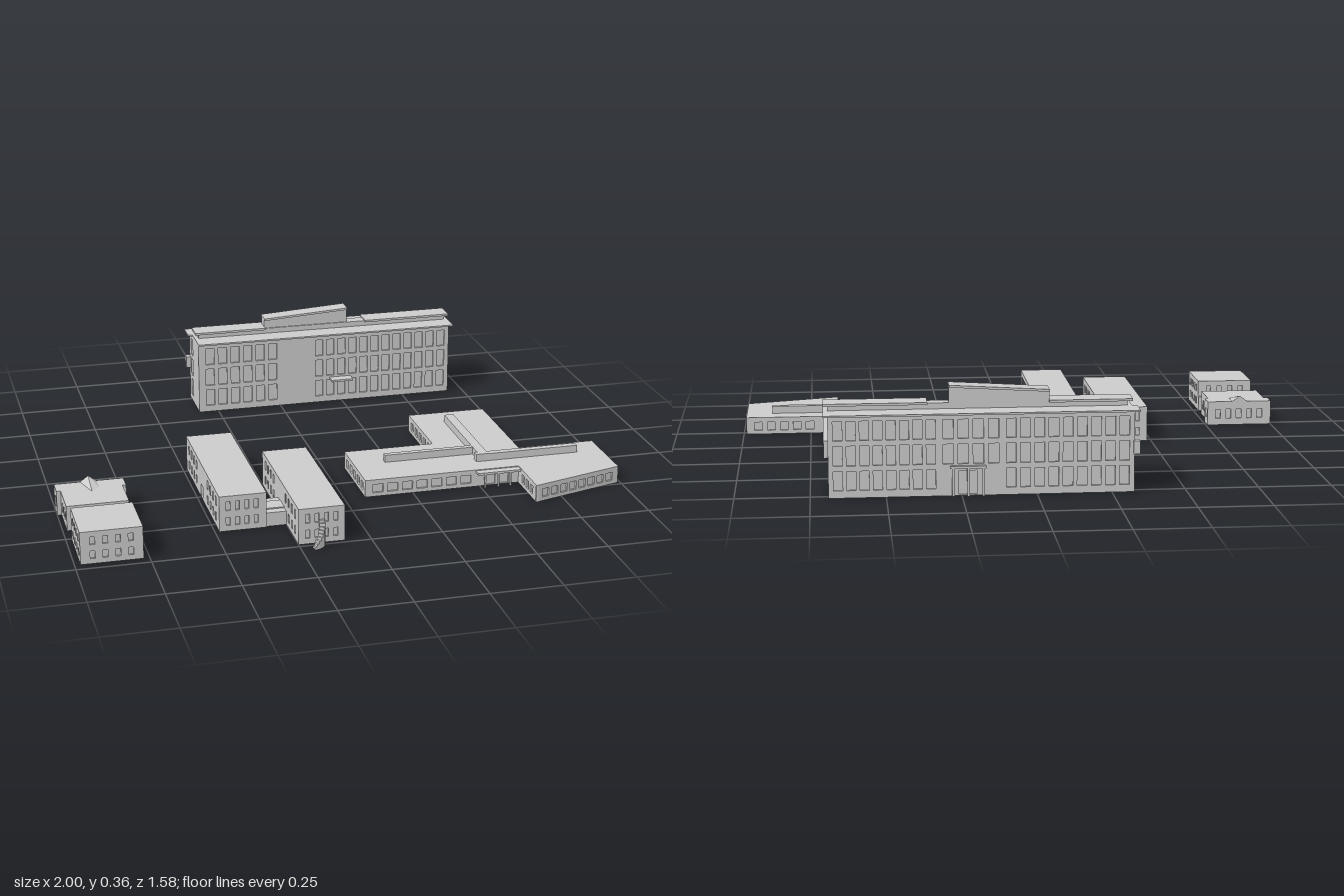
import * as THREE from 'three';

const grey = new THREE.MeshStandardMaterial({ color: 0xcccccc, flatShading: true });

function mesh(name, geo, parent) {
  const m = new THREE.Mesh(geo, grey);
  m.name = name;
  parent.add(m);
  return m;
}

// Box given by its limits on each axis
function box(name, x0, x1, y0, y1, z0, z1, parent) {
  const m = mesh(name, new THREE.BoxGeometry(x1 - x0, y1 - y0, z1 - z0), parent);
  m.position.set((x0 + x1) / 2, (y0 + y1) / 2, (z0 + z1) / 2);
  return m;
}

// Horizontal slab from an outline of [x, z] points
function slab(name, pts, y0, y1, parent) {
  const shape = new THREE.Shape(pts.map(([x, z]) => new THREE.Vector2(x, -z)));
  const geo = new THREE.ExtrudeGeometry(shape, { depth: y1 - y0, bevelEnabled: false });
  mesh(name, geo.rotateX(-Math.PI / 2), parent).position.y = y0;
}

// Even grid of openings [u, v, width, height] along a wall
function grid(u0, u1, cols, rows, fill = 0.6) {
  const out = [], step = (u1 - u0) / cols;
  for (const [v0, v1] of rows)
    for (let i = 0; i < cols; i++)
      out.push([u0 + step * (i + (1 - fill) / 2), v0, step * fill, v1 - v0]);
  return out;
}

// Wall from a to b with openings and a recessed pane behind them
function wall(a, b, h, openings, parent, depth = 0.008) {
  const dx = b[0] - a[0], dz = b[1] - a[1], len = Math.hypot(dx, dz);
  const g = new THREE.Group();
  g.name = 'wall';
  g.position.set(a[0], 0, a[1]);
  g.rotation.y = Math.atan2(-dz, dx);
  parent.add(g);
  const rect = (S, x, y, w, t) => new S([[x, y], [x + w, y], [x + w, y + t], [x, y + t]]
    .map((p) => new THREE.Vector2(...p)));
  const shape = rect(THREE.Shape, 0, 0, len, h);
  for (const o of openings) shape.holes.push(rect(THREE.Path, ...o));
  const geo = new THREE.ExtrudeGeometry(shape, { depth, bevelEnabled: false });
  mesh('facade', geo.translate(0, 0, -depth), g);
  mesh('windowPanes', new THREE.PlaneGeometry(len - 2 * depth, h), g)
    .position.set(len / 2, h / 2, -depth + 0.001);
}

// Building from an outline, with one list of openings per edge
function building(name, pts, h, openings, parent) {
  const g = new THREE.Group();
  g.name = name;
  parent.add(g);
  slab('floor', pts, 0, 0.002, g);
  slab('roof', pts, h - 0.004, h, g);
  pts.forEach((p, i) => wall(p, pts[(i + 1) % pts.length], h - 0.004, openings[i] || [], g));
  return g;
}

// Edges run front, +x side, back, -x side
const rectangle = (x0, x1, z0, z1) => [[x0, z1], [x1, z1], [x1, z0], [x0, z0]];

// Curved outside stair going down away from a wall
function curvedStair(x, z, dir, parent) {
  const g = new THREE.Group();
  g.name = 'curvedStair';
  g.position.set(x, 0, z);
  g.rotation.y = dir > 0 ? 0 : Math.PI;
  parent.add(g);
  const n = 9, r = 0.037;
  for (let i = 0; i < n; i++) {
    const t = (i + 0.5) / n, a = t * Math.PI / 2, h = 0.085 * (1 - i / n);
    const s = mesh('step', new THREE.BoxGeometry(0.02, h, 0.0085), g);
    s.position.set(-r + r * Math.cos(a), h / 2, 0.045 * Math.sin(a));
    s.rotation.y = -a;
  }
}

function mainBlock(root) {
  const rows = [[0.025, 0.09], [0.108, 0.175], [0.193, 0.258]];
  const g = building('mainBlock', rectangle(-0.325, 0.69, -0.775, -0.59), 0.276, [
    [...grid(0.02, 0.32, 6, rows, 0.68), ...grid(0.46, 1.005, 12, rows, 0.68)],
    grid(0.13, 0.17, 1, [[0.03, 0.1], [0.112, 0.176], [0.186, 0.25]], 0.8),
    [...grid(0.01, 0.36, 8, rows, 0.7), ...grid(0.37, 0.57, 4, rows.slice(1), 0.7),
      ...grid(0.4, 0.52, 1, [[0.004, 0.085]], 0.5), ...grid(0.58, 1.005, 9, rows, 0.7)],
    grid(0.03, 0.07, 1, rows, 0.8),
  ], root);

  // Eaves, wider at the rear corner
  slab('eaves', [[-0.325, -0.58], [0.705, -0.58], [0.705, -0.79], [-0.342, -0.79],
    [-0.342, -0.71], [-0.325, -0.71]], 0.274, 0.28, g);
  box('cornerBay', -0.342, -0.32, 0.13, 0.175, -0.785, -0.755, g);

  // Clerestory along the roof with end canopies
  box('clerestory', -0.31, 0.69, 0.28, 0.3, -0.705, -0.66, g);
  box('clerestoryRoof', -0.325, -0.045, 0.298, 0.306, -0.725, -0.645, g);
  box('clerestoryRoof', 0.36, 0.705, 0.298, 0.306, -0.725, -0.645, g);

  // Taller centre with a sloping roof
  const slope = (name, y0, y1, top0, top1, z0, z1) => {
    const s = new THREE.Shape([[-0.047, y0], [0.288, y1], [0.288, top1], [-0.047, top0]]
      .map((p) => new THREE.Vector2(...p)));
    mesh(name, new THREE.ExtrudeGeometry(s, { depth: z1 - z0, bevelEnabled: false }), g).position.z = z0;
  };
  slope('roofHouse', 0.28, 0.28, 0.333, 0.353, -0.705, -0.665);
  slope('roofHouseCap', 0.333, 0.353, 0.341, 0.361, -0.717, -0.653);

  // Front canopy and rear porch
  box('frontCanopy', 0.2, 0.285, 0.092, 0.1, -0.59, -0.55, g);
  box('porchRoof', 0.17, 0.29, 0.094, 0.102, -0.788, -0.775, g);
  for (const x of [0.175, 0.225, 0.275]) box('porchPost', x, x + 0.008, 0, 0.094, -0.787, -0.779, g);
}

function twinWings(root) {
  const g = new THREE.Group();
  g.name = 'twinWings';
  root.add(g);
  const rows = [[0.02, 0.05], [0.075, 0.108]];
  const ends = grid(0.015, 0.145, 4, rows, 0.45);
  const side = (len) => [...grid(0.03, len * 0.36, 4, rows, 0.35),
    ...grid(len * 0.42, len * 0.55, 1, [[0.004, 0.05]], 0.5), ...grid(len * 0.62, len - 0.03, 4, rows, 0.35)];
  building('westWing', rectangle(-0.485, -0.32, -0.02, 0.565), 0.128,
    [ends, side(0.585), ends, side(0.585)], g);
  building('eastWing', rectangle(-0.25, -0.09, 0.19, 0.735), 0.128,
    [ends, side(0.545), ends, side(0.545)], g);
  box('link', -0.32, -0.25, 0, 0.05, 0.435, 0.56, g);
  box('linkSkylight', -0.32, -0.25, 0.05, 0.054, 0.467, 0.53, g);
  curvedStair(-0.405, -0.02, -1, g);
  curvedStair(-0.175, 0.19, -1, g);
  curvedStair(-0.17, 0.735, 1, g);
}

function lowBlock(root) {
  const pts = [[0.075, 0.395], [0.645, 0.395], [0.645, 0.585], [0.99, 0.485], [0.99, 0.225],
    [0.705, 0.225], [0.705, -0.195], [0.41, -0.195], [0.41, 0.11], [0.075, 0.11]];
  const row = [[0.014, 0.045]];
  const g = building('lowBlock', pts, 0.063, [
    [...grid(0.02, 0.4, 7, row, 0.7), ...grid(0.44, 0.54, 2, [[0.003, 0.046]], 0.7)],
    grid(0.03, 0.16, 3, row), grid(0.02, 0.34, 8, row, 0.7), grid(0.02, 0.24, 5, row),
    grid(0.02, 0.26, 5, row), grid(0.02, 0.4, 8, row), grid(0.02, 0.28, 6, row),
    grid(0.02, 0.285, 5, row), grid(0.02, 0.315, 6, row), grid(0.02, 0.265, 5, row),
  ], root);

  // Raised rooflights
  box('rooflight', 0.19, 0.52, 0.063, 0.09, 0.225, 0.245, g);
  box('rooflight', 0.52, 0.555, 0.063, 0.091, -0.095, 0.32, g);
  box('rooflight', 0.51, 0.895, 0.063, 0.09, 0.295, 0.32, g);

  // Entrance canopy on posts, and a small side canopy
  box('entranceCanopy', 0.485, 0.645, 0.052, 0.06, 0.395, 0.423, g);
  for (const x of [0.51, 0.56, 0.605]) box('canopyPost', x, x + 0.006, 0, 0.052, 0.413, 0.419, g);
  box('sideCanopy', 0.99, 0.997, 0.05, 0.055, 0.31, 0.335, g);
}

function smallPair(root) {
  const g = new THREE.Group();
  g.name = 'smallPair';
  root.add(g);
  const rows = [[0.018, 0.045], [0.068, 0.095]];
  const faces = grid(0.02, 0.19, 4, rows, 0.4);
  building('frontHouse', rectangle(-0.98, -0.77, 0.505, 0.715), 0.115, [faces, faces, faces, faces], g);
  box('passage', -0.915, -0.845, 0, 0.06, 0.43, 0.505, g);
  box('passageStep', -0.845, -0.77, 0, 0.055, 0.49, 0.505, g);

  // Rear house with wider back bays
  const low = [[0.025, 0.06]];
  const bay = grid(0.01, 0.055, 1, low, 0.6), flank = grid(0.02, 0.12, 3, low, 0.4);
  building('rearHouse', [[-0.985, 0.43], [-0.77, 0.43], [-0.77, 0.29], [-0.757, 0.29], [-0.757, 0.225],
    [-1, 0.225], [-1, 0.29], [-0.985, 0.29]], 0.09,
  [grid(0.01, 0.06, 1, low), flank, [], bay, grid(0.02, 0.22, 5, low, 0.5), bay, [], flank], g);

  // Gabled dormer, its ridge running forward to a point
  const s = new THREE.Shape([[-0.03, 0], [0.03, 0], [0, 0.022]].map((p) => new THREE.Vector2(...p)));
  const geo = new THREE.ExtrudeGeometry(s, { depth: 0.065, bevelEnabled: false });
  const p = geo.attributes.position;
  for (let i = 0; i < p.count; i++)
    if (p.getZ(i) > 0.06 && p.getY(i) > 0.02) p.setXYZ(i, 0, 0.001, 0.095);
  geo.computeVertexNormals();
  mesh('dormer', geo, g).position.set(-0.88, 0.089, 0.225);
}

export function createModel() {
  const root = new THREE.Group();
  root.name = 'buildingComplex';
  mainBlock(root);
  twinWings(root);
  lowBlock(root);
  smallPair(root);
  return root;
}
